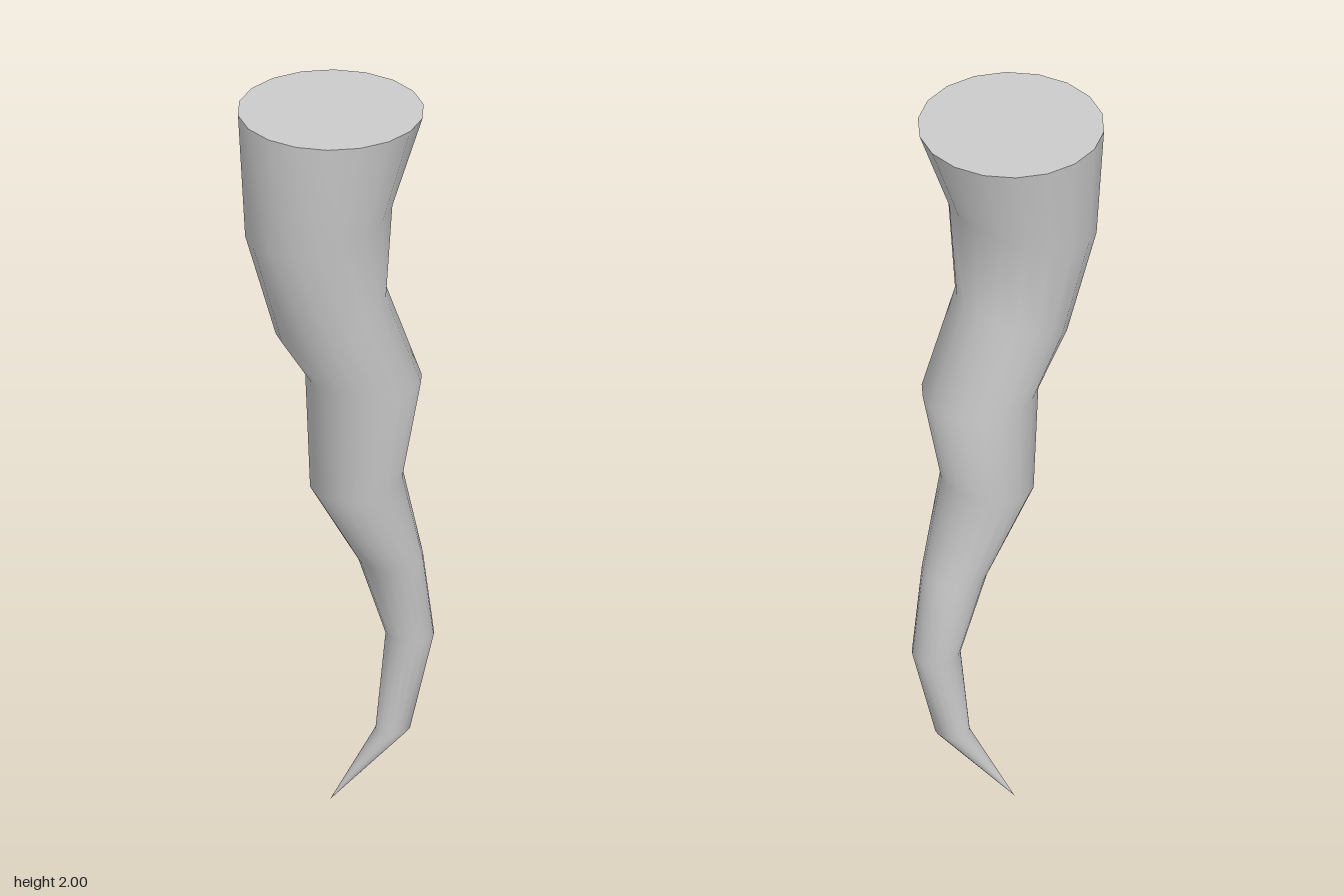
import * as THREE from 'three';

const SIDES = 18;

// Cross-sections from top to bottom:
// [left x, left y, right x, right y, centre z, half depth]
const RINGS = [
  [-0.27, 2.0, 0.208, 2.0, 0, 0.24],
  [-0.255, 1.66, 0.125, 1.77, 0, 0.194],
  [-0.17, 1.37, 0.11, 1.5, -0.002, 0.152],
  [-0.085, 1.24, 0.215, 1.22, -0.003, 0.15],
  [-0.072, 0.92, 0.165, 0.96, -0.007, 0.123],
  [0.065, 0.69, 0.23, 0.7, -0.01, 0.086],
  [0.14, 0.47, 0.265, 0.465, -0.01, 0.062],
  [0.11, 0.205, 0.2, 0.21, -0.013, 0.044],
  [0.02, 0.0, 0.021, 0.002, -0.097, 0.001],
];

// Point on a tilted elliptical cross-section
function ringPoint([lx, ly, rx, ry, cz, depth], j) {
  const a = (j / SIDES) * Math.PI * 2;
  const t = (1 + Math.cos(a)) / 2;
  return [lx + (rx - lx) * t, ly + (ry - ly) * t, cz + depth * Math.sin(a)];
}

function loftGeometry() {
  const positions = [];
  const indices = [];
  for (const ring of RINGS) {
    for (let j = 0; j < SIDES; j++) positions.push(...ringPoint(ring, j));
  }
  for (let i = 0; i < RINGS.length - 1; i++) {
    for (let j = 0; j < SIDES; j++) {
      const k = (j + 1) % SIDES;
      const a = i * SIDES + j, b = i * SIDES + k;
      const c = a + SIDES, d = b + SIDES;
      indices.push(a, b, c, b, d, c);
    }
  }
  const geometry = new THREE.BufferGeometry();
  geometry.setAttribute('position', new THREE.Float32BufferAttribute(positions, 3));
  geometry.setIndex(indices);
  geometry.computeVertexNormals();
  return geometry;
}

export function createModel() {
  const group = new THREE.Group();
  group.name = 'twistedHorn';
  const material = new THREE.MeshStandardMaterial({ color: 0xcccccc });

  // Crooked tapering body ending in a point
  const body = new THREE.Mesh(loftGeometry(), material);
  body.name = 'hornBody';
  group.add(body);

  // Flat cap closing the wide end
  const [lx, ly, rx, , cz, depth] = RINGS[0];
  const capGeometry = new THREE.CircleGeometry(1, SIDES);
  capGeometry.rotateX(-Math.PI / 2);
  capGeometry.scale((rx - lx) / 2, 1, depth);
  capGeometry.translate((lx + rx) / 2, ly, cz);
  const cap = new THREE.Mesh(capGeometry, material);
  cap.name = 'topCap';
  group.add(cap);

  return group;
}
